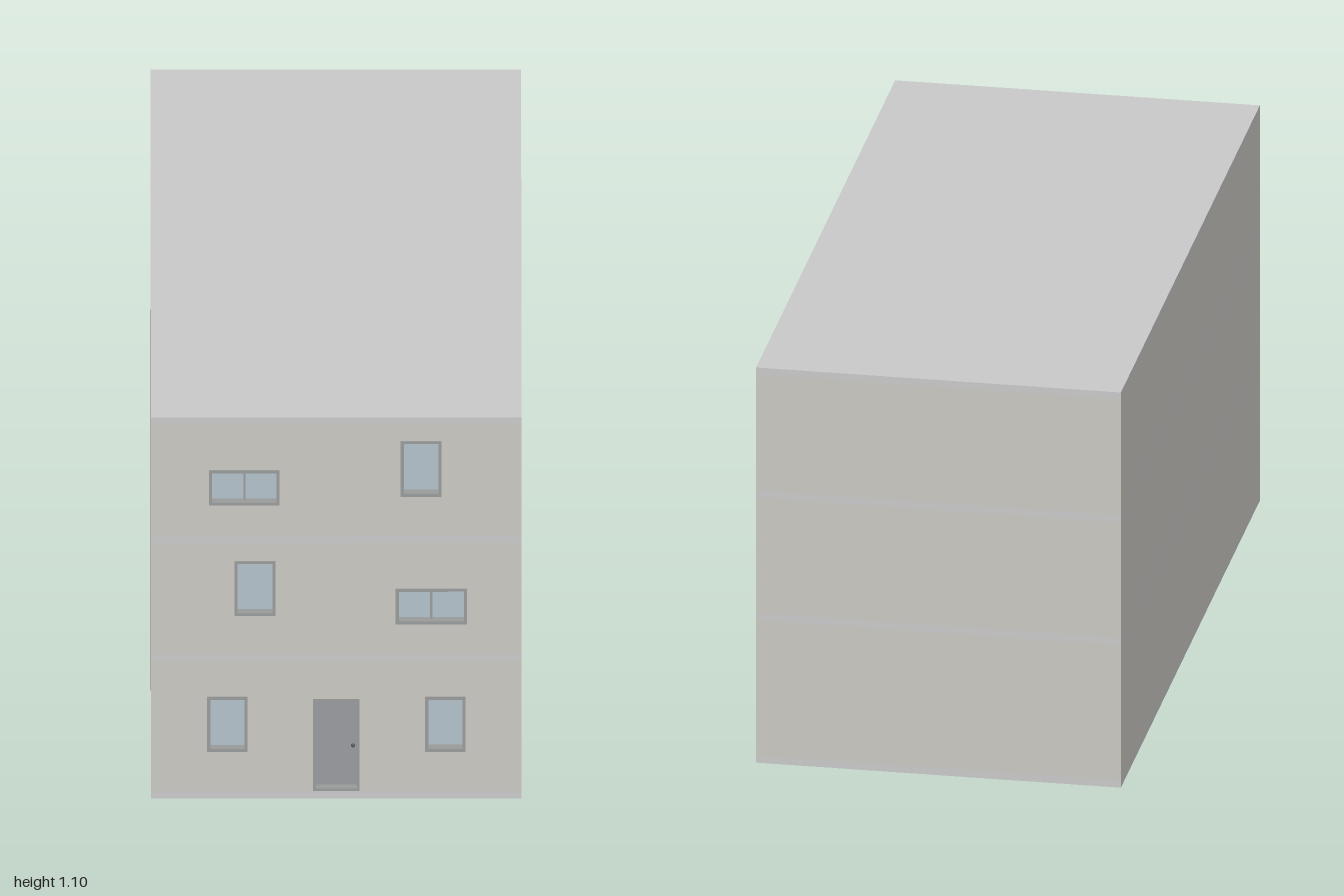
import * as THREE from 'three';

const W = 0.956, BACK = -1, FRONT = 0.997, SKIN = 0.03;
const mat = (color) => new THREE.MeshStandardMaterial({ color });
const wallMat = mat(0xcccac4), slabMat = mat(0xc2c2c0), frameMat = mat(0x9b9c9c);
const glassMat = mat(0xb4c3cc), doorMat = mat(0x9a9ca0), knobMat = mat(0x555555);

// Box given by its lower and upper corners
function box(name, material, x0, x1, y0, y1, z0, z1) {
  const m = new THREE.Mesh(new THREE.BoxGeometry(x1 - x0, y1 - y0, z1 - z0), material);
  m.position.set((x0 + x1) / 2, (y0 + y1) / 2, (z0 + z1) / 2);
  m.name = name;
  return m;
}

function rect(Type, [x0, x1, y0, y1], inset = 0) {
  const a = x0 + inset, b = x1 - inset, c = y0 + inset, d = y1 - inset;
  return new Type([[a, c], [b, c], [b, d], [a, d]].map(([x, y]) => new THREE.Vector2(x, y)));
}

// Flat panel with rectangular holes
function panel(name, material, outer, holes, z0, z1) {
  const shape = rect(THREE.Shape, outer);
  shape.holes = holes;
  const m = new THREE.Mesh(new THREE.ExtrudeGeometry(shape, { depth: z1 - z0, bevelEnabled: false }), material);
  m.position.z = z0;
  m.name = name;
  return m;
}

function opening(name, r, proud) {
  const g = new THREE.Group();
  g.name = name;
  g.add(panel('frame', frameMat, r, [rect(THREE.Path, r, 0.008)], FRONT - SKIN, FRONT + proud));
  return g;
}

function makeWindow(r, panes) {
  const g = opening('window', r, 0.003);
  const [x0, x1, y0, y1] = r;
  g.add(box('glass', glassMat, x0 + 0.007, x1 - 0.007, y0 + 0.007, y1 - 0.007, FRONT - 0.029, FRONT - 0.022));
  for (let i = 1; i < panes; i++) {
    const x = x0 + (x1 - x0) * i / panes;
    g.add(box('mullion', frameMat, x - 0.003, x + 0.003, y0 + 0.007, y1 - 0.007, FRONT - 0.024, FRONT - 0.014));
  }
  return g;
}

function makeDoor(r) {
  const g = opening('door', r, 0.001);
  const [x0, x1, y0, y1] = r;
  g.add(box('doorLeaf', doorMat, x0 + 0.003, x1 - 0.003, y0 + 0.003, y1 - 0.007, FRONT - 0.029, FRONT - 0.02));
  const knob = new THREE.Mesh(new THREE.SphereGeometry(0.005, 12, 8), knobMat);
  knob.position.set(x1 - 0.017, 0.145, FRONT - 0.016);
  knob.name = 'doorKnob';
  g.add(knob);
  return g;
}

export function createModel() {
  const model = new THREE.Group();
  model.name = 'building';

  // Floor slabs and roof slab, flush with the walls
  const slabs = [[0, 0.02], [0.397, 0.417], [0.738, 0.758], [1.081, 1.1]];
  slabs.forEach(([y0, y1], i) =>
    model.add(box(i === 3 ? 'roofSlab' : 'floorSlab', slabMat, -W / 2, W / 2, y0, y1, BACK, FRONT)));

  // Openings of each storey: x0, x1, y0, y1, then the number of panes
  const door = [-0.06, 0.06, 0.022, 0.287];
  const storeys = [
    [[-0.333, -0.229, 0.136, 0.294, 1], [0.229, 0.333, 0.136, 0.294, 1]],
    [[-0.263, -0.157, 0.528, 0.686, 1], [0.153, 0.337, 0.504, 0.606, 2]],
    [[-0.328, -0.146, 0.847, 0.948, 2], [0.166, 0.271, 0.872, 1.032, 1]],
  ];

  // Storeys: solid body with a pierced front wall
  storeys.forEach((windows, i) => {
    const y0 = slabs[i][1], y1 = slabs[i + 1][0];
    model.add(box('storeyBody', wallMat, -W / 2, W / 2, y0, y1, BACK, FRONT - SKIN));
    const holes = windows.map((w) => rect(THREE.Path, w));
    if (i === 0) holes.push(rect(THREE.Path, door));
    model.add(panel('frontWall', wallMat, [-W / 2, W / 2, y0, y1], holes, FRONT - SKIN, FRONT));
    windows.forEach((w) => model.add(makeWindow(w.slice(0, 4), w[4])));
  });
  model.add(makeDoor(door));

  return model;
}
